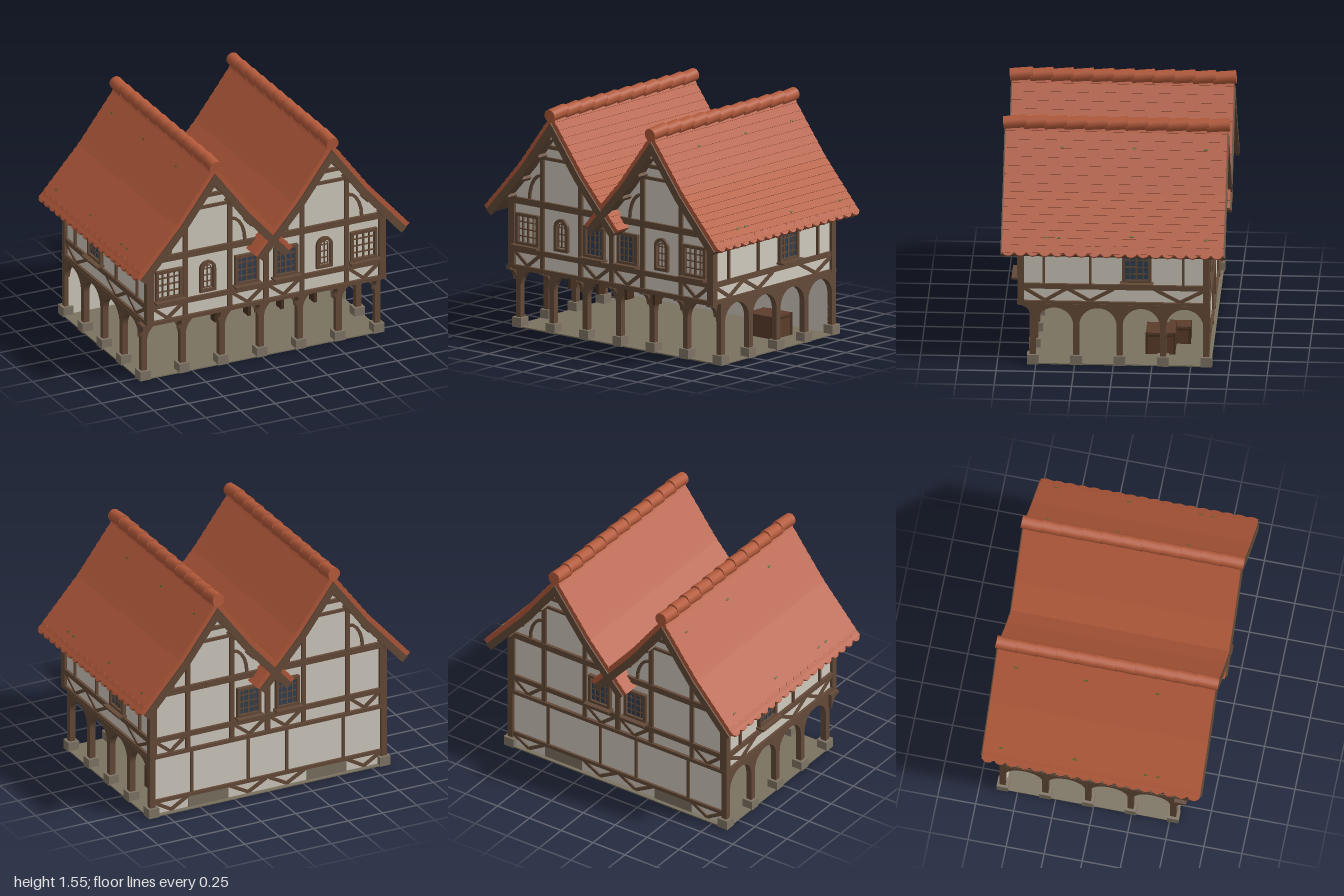
import * as THREE from 'three';

const mat = (name, color) => Object.assign(new THREE.MeshStandardMaterial({ color }), { name });
const M = {
  plaster: mat('plaster', 0xd0cabe), timber: mat('timber', 0x644a38), dark: mat('darkTimber', 0x46301f),
  tile: mat('roofTile', 0xb2593a), stone: mat('stone', 0x7f7565), floor: mat('floor', 0x7b7260),
  glass: mat('glass', 0x2f3f52), crate: mat('crateWood', 0x5c3d2b), moss: mat('moss', 0x66682a),
};

function add(parent, name, geometry, material, x = 0, y = 0, z = 0) {
  const m = new THREE.Mesh(geometry, material);
  m.name = name;
  m.position.set(x, y, z);
  parent.add(m);
  return m;
}
const box = (p, name, material, w, h, d, x, y, z) => add(p, name, new THREE.BoxGeometry(w, h, d), material, x, y, z);
const extrude = (shape, depth) => new THREE.ExtrudeGeometry(shape, { depth, bevelEnabled: false, curveSegments: 14 });
const polygon = pts => new THREE.Shape(pts.map(p => new THREE.Vector2(p[0], p[1])));

function group(parent, name, rotY = 0, x = 0, z = 0) {
  const g = new THREE.Group();
  g.name = name;
  g.rotation.y = rotY;
  g.position.set(x, 0, z);
  parent.add(g);
  return g;
}

// A beam lying on a wall plane from (u1, v1) to (u2, v2)
function beam(g, name, u1, v1, u2, v2, w = 0.025, depth = 0.016) {
  const m = box(g, name, M.timber, Math.hypot(u2 - u1, v2 - v1), w, depth * 2, (u1 + u2) / 2, (v1 + v2) / 2, 0);
  m.rotation.z = Math.atan2(v2 - v1, u2 - u1);
}
function vBrace(g, u1, u2, top = 0.52, bottom = 0.435) {
  const mid = (u1 + u2) / 2;
  beam(g, 'brace', u1, top, mid, bottom, 0.022, 0.012);
  beam(g, 'brace', mid, bottom, u2, top, 0.022, 0.012);
}

// Rectangular window with frame, glazing bars and sill
function windowUnit(g, u, pane, w = 0.17, h = 0.19, v = 0.675) {
  const win = group(g, 'window', 0, u, 0);
  if (pane) box(win, 'pane', pane, w, h, 0.008, 0, v, 0.004);
  for (const s of [-1, 1]) {
    box(win, 'jamb', M.timber, 0.02, h + 0.02, 0.05, s * w / 2, v, 0);
    box(win, 'rail', M.timber, w + 0.02, 0.02, 0.05, 0, v + s * h / 2, 0);
  }
  for (let i = 1; i < 4; i++) box(win, 'bar', M.timber, i === 2 ? 0.012 : 0.007, h, 0.026, -w / 2 + i * w / 4, v, 0);
  for (let i = 1; i < 4; i++) box(win, 'bar', M.timber, w, 0.007, 0.024, 0, v - h / 2 + i * h / 4, 0);
  box(win, 'sill', M.timber, w + 0.045, 0.014, 0.1, 0, 0.566, 0.01);
}

function archShape(Type, w, y0, spring) {
  const s = new Type();
  s.moveTo(-w / 2, y0);
  s.lineTo(w / 2, y0);
  s.lineTo(w / 2, spring);
  s.absarc(0, spring, w / 2, 0, Math.PI, false);
  s.lineTo(-w / 2, y0);
  return s;
}
function archedWindow(g, u) {
  const win = group(g, 'archedWindow', 0, u, 0);
  const frame = archShape(THREE.Shape, 0.115, 0.57, 0.73);
  frame.holes.push(archShape(THREE.Path, 0.075, 0.59, 0.73));
  add(win, 'frame', extrude(frame, 0.02), M.timber);
  const inner = archShape(THREE.Shape, 0.062, 0.597, 0.727);
  inner.holes.push(archShape(THREE.Path, 0.05, 0.603, 0.727));
  add(win, 'innerFrame', extrude(inner, 0.01), M.timber);
  box(win, 'bar', M.timber, 0.006, 0.16, 0.02, 0, 0.68, 0);
  for (const v of [0.64, 0.685, 0.73]) box(win, 'bar', M.timber, 0.06, 0.006, 0.018, 0, v, 0);
}

// Row of posts joined by round arches, starting at u = 0
function arcade(parent, bays, rotY, x, z) {
  const step = 0.28, r = 0.12, p = 0.02, s = new THREE.Shape();
  s.moveTo(-p, 0.03);
  s.lineTo(p, 0.03);
  for (let i = 0; i < bays; i++) {
    const c = (i + 0.5) * step;
    s.lineTo(c - r, 0.27);
    s.absarc(c, 0.27, r, Math.PI, 0, true);
    s.lineTo(c + r, 0.03);
    s.lineTo(c + r + 2 * p, 0.03);
  }
  s.lineTo(bays * step + p, 0.415);
  s.lineTo(-p, 0.415);
  const g = group(parent, 'arcade', rotY, x, z);
  add(g, 'archesAndPosts', extrude(s, 0.04), M.timber, 0, 0, -0.02);
  for (let i = 0; i <= bays; i++) box(g, 'postBase', M.stone, 0.075, 0.065, 0.075, i * step, 0.0325, 0);
}

// Point on the roof slope: distance d out from the ridge, depth t below the tiles
function slopePoint(d, t) {
  if (d === 0) return [0, 1.5 - t / 0.6];
  const y = d <= 0.27 ? 1.5 - 1.333 * d : 1.14 - 1.12 * (d - 0.27);
  const a = d < 0.27 ? 0.927 : d > 0.27 ? 0.842 : 0.885;
  return [Math.max(0, d - Math.sin(a) * t), y - Math.cos(a) * t];
}
const EAVE = 0.56;

function roofSlope(parent, cx, s) {
  const g = group(parent, 'roofSlope', 0, cx, 0);
  const slab = (top, t2) => polygon([...top, ...[EAVE, 0.27, 0].map(d => slopePoint(d, t2))].map(p => [s * p[0], p[1]]));
  // Overlapping tile courses
  const courses = [[0, 1.5]], n = 16;
  for (let i = 0; i < n; i++) {
    if (i) courses.push(slopePoint(i * EAVE / n, 0.005));
    courses.push(slopePoint((i + 1) * EAVE / n, 0));
  }
  add(g, 'tileCourses', extrude(slab(courses, 0.035), 1.43), M.tile, 0, 0, -0.715);
  const flat = t => [0, 0.27, EAVE].map(d => slopePoint(d, t));
  add(g, 'roofBoards', extrude(slab(flat(0.034), 0.065), 1.4), M.timber, 0, 0, -0.7);
  for (const z of [-0.725, 0.7]) add(g, 'bargeboard', extrude(slab(flat(0.033), 0.082), 0.025), M.timber, 0, 0, z);
  for (const d of [0.1, 0.2, 0.33, 0.45]) {
    const [px, py] = slopePoint(d, 0.075);
    box(g, 'purlin', M.timber, 0.025, 0.025, 1.38, s * px, py, 0).rotation.z = -s * 0.88;
  }
  if (s * cx < 0) return;
  // Rounded tile ends along the outer eave
  for (let i = 0; i < 18; i++) {
    const [px, py] = slopePoint(0.548, 0.011);
    const t = add(g, 'eaveTile', new THREE.CylinderGeometry(0.04, 0.04, 0.018, 12), M.tile, s * px, py, -0.675 + i * 1.35 / 17);
    t.rotation.z = -s * 0.842;
  }
  for (const [d, z] of [[0.49, 0.43], [0.49, 0.35], [0.48, -0.12], [0.49, -0.6], [0.1, 0.35], [0.1, -0.12], [0.1, -0.58]]) {
    const [px, py] = slopePoint(d, 0);
    box(g, 'mossPatch', M.moss, 0.012, 0.006, 0.025, s * px, py, z).rotation.z = -s * (d < 0.27 ? 0.927 : 0.842);
  }
}

function gableTimbers(g, c) {
  beam(g, 'collarBeam', c - 0.17, 1.17, c + 0.17, 1.17, 0.02);
  beam(g, 'upperCollar', c - 0.13, 1.25, c + 0.13, 1.25, 0.024, 0.02);
  beam(g, 'kingPost', c, 1.25, c, 1.43, 0.024);
  for (const s of [-1, 1]) {
    beam(g, 'gablePost', c + s * 0.16, 0.86, c + s * 0.16, 1.21, 0.03);
    beam(g, 'peakBrace', c, 1.31, c + s * 0.06, 1.37, 0.014, 0.012);
    // Curved brace
    for (let i = 0; i < 5; i++) {
      const p = k => [c + s * (0.27 - 0.1 * (1 - Math.cos(k * Math.PI / 10))), 0.88 + 0.17 * Math.sin(k * Math.PI / 10)];
      beam(g, 'curvedBrace', ...p(i), ...p(i + 1), 0.02, 0.012);
    }
  }
}

// Timbers shared by the two gabled walls
function gableWall(parent, name, rotY, z) {
  const g = group(parent, name, rotY, 0, z);
  beam(g, 'bottomBeam', -0.86, 0.42, 0.86, 0.42, 0.025, 0.022);
  beam(g, 'middleBeam', -0.85, 0.535, 0.85, 0.535, 0.034, 0.018);
  beam(g, 'topBeam', -0.85, 0.86, 0.85, 0.86, 0.042, 0.02);
  beam(g, 'centrePost', 0, 0.42, 0, 0.95, 0.036);
  for (const s of [-1, 1]) {
    beam(g, 'cornerPost', s * 0.835, 0.41, s * 0.835, 0.9, 0.05, 0.02);
    for (const u of [0.58, 0.26]) beam(g, 'post', s * u, 0.43, s * u, 0.86, 0.03);
    vBrace(g, s * 0.81, s * 0.6);
    vBrace(g, s * 0.24, s * 0.02);
    gableTimbers(g, s * 0.42);
    windowUnit(g, s * 0.14, M.glass, 0.15);
  }
  return g;
}

function sideWall(parent, s) {
  const g = group(parent, s > 0 ? 'leftWall' : 'rightWall', s * Math.PI / 2, s * 0.84, 0);
  const u = z => -s * z;
  beam(g, 'bottomBeam', -0.61, 0.42, 0.61, 0.42, 0.025, 0.018);
  beam(g, 'middleBeam', -0.61, 0.535, 0.61, 0.535, 0.034, 0.018);
  beam(g, 'topBeam', -0.61, 0.83, 0.61, 0.83, 0.04, 0.018);
  for (const z of [0.595, -0.595]) beam(g, 'cornerPost', u(z), 0.41, u(z), 0.88, 0.035, 0.02);
  for (const z of [0.45, 0.15, -0.45]) beam(g, 'post', u(z), 0.54, u(z), 0.83, 0.016);
  for (const [a, b] of [[0.58, 0.3], [0.3, 0], [-0.27, -0.59]]) vBrace(g, u(a), u(b));
  windowUnit(g, u(-0.15), M.glass);
}

function crate(parent, x, z, w, h, d) {
  const g = group(parent, 'crate', 0, x, z);
  box(g, 'crateBody', M.crate, w, h, d, 0, h / 2 + 0.006, 0);
  for (const sx of [-1, 1]) {
    for (const sz of [-1, 1]) box(g, 'crateCorner', M.dark, 0.014, h, 0.014, sx * (w / 2 - 0.005), h / 2 + 0.006, sz * (d / 2 - 0.005));
    box(g, 'crateBatten', M.dark, 0.006, 0.012, d, sx * w / 2, h * 0.9, 0);
  }
}

export function createModel() {
  const house = new THREE.Group();
  house.name = 'house';

  // Floor, open arcade and closed back wall
  box(house, 'groundFloor', M.floor, 1.74, 0.008, 1.18, 0, 0.004, -0.04);
  arcade(house, 6, 0, -0.84, 0.52);
  for (const s of [-1, 1]) arcade(house, 4, Math.PI / 2, s * 0.84, 0.52);
  box(house, 'backGroundWall', M.plaster, 1.66, 0.41, 0.02, 0, 0.21, -0.59);
  box(house, 'ceiling', M.timber, 1.68, 0.02, 1.2, 0, 0.405, 0);

  // Upper storey with twin gables
  const outline = [[-0.84, 0.41], [0.84, 0.41]];
  for (const c of [0.42, -0.42])
    for (const [dx, y] of [[0.42, 0.91], [0.27, 1.08], [0, 1.44], [-0.27, 1.08]]) outline.push([c + dx, y]);
  outline.push([-0.84, 0.91]);
  add(house, 'upperStorey', extrude(polygon(outline), 1.2), M.plaster, 0, 0, -0.6);

  const front = gableWall(house, 'frontWall', 0, 0.6);
  for (const s of [-1, 1]) {
    windowUnit(front, s * 0.7, null);
    archedWindow(front, s * 0.42);
    sideWall(house, s);
  }

  // Back timbers continue down to the ground
  const back = gableWall(house, 'backWall', Math.PI, -0.6);
  beam(back, 'sillBeam', -0.84, 0.1, 0.84, 0.1, 0.025, 0.016);
  for (const u of [-0.14, 0.14, 0.55, -0.55]) beam(back, 'groundPost', u, 0.1, u, 0.42, 0.018, 0.012);
  for (const s of [-1, 1]) {
    beam(back, 'groundCorner', s * 0.84, 0.03, s * 0.84, 0.42, 0.04, 0.02);
    vBrace(back, s * 0.82, s * 0.58, 0.09, 0.02);
    vBrace(back, s * 0.27, s * 0.01, 0.09, 0.02);
    box(back, 'plinthPanel', M.floor, 0.29, 0.09, 0.01, s * 0.43, 0.045, 0.003);
  }

  // Curved brackets under the overhanging front
  const bracket = new THREE.Shape();
  bracket.moveTo(0.53, 0.41);
  bracket.lineTo(0.61, 0.41);
  bracket.lineTo(0.61, 0.39);
  bracket.quadraticCurveTo(0.545, 0.385, 0.535, 0.31);
  bracket.lineTo(0.53, 0.31);
  for (let i = -3; i <= 3; i++)
    add(house, 'jettyBracket', extrude(bracket, 0.03), M.timber, i * 0.28 - 0.015, 0, 0).rotation.y = -Math.PI / 2;
  for (const x of [-0.355, -0.118, 0.118, 0.355]) box(house, 'joistEnd', M.dark, 0.022, 0.08, 0.07, x, 0.375, 0.575);

  // Twin roofs with rows of ridge tiles
  for (const c of [-0.42, 0.42]) {
    for (const s of [-1, 1]) roofSlope(house, c, s);
    for (let i = 0; i < 11; i++) {
      const t = add(house, 'ridgeTile', new THREE.CylinderGeometry(0.043, 0.043, 0.15, 14), M.tile, c, 1.498, 0.655 - i * 0.131);
      t.rotation.x = Math.PI / 2 + 0.1;
    }
  }

  crate(house, 0.585, -0.295, 0.19, 0.15, 0.19);
  crate(house, 0.43, -0.41, 0.12, 0.12, 0.14);
  return house;
}
